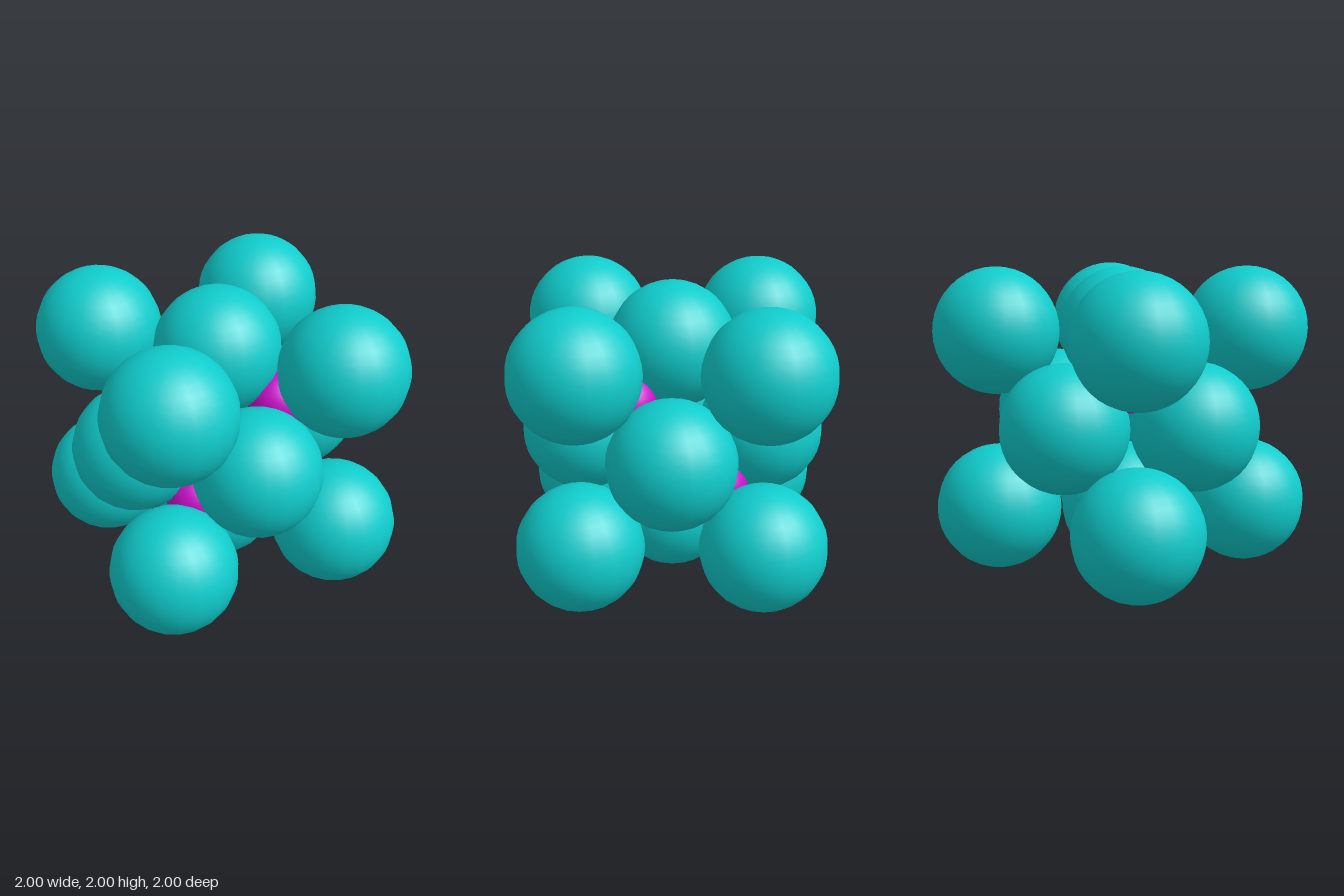
import * as THREE from 'three';

// Close-packed cube of large spheres with small spheres in alternate gaps
export function createModel() {
  const model = new THREE.Group();
  model.name = 'crystalLattice';

  const teal = new THREE.MeshStandardMaterial({ color: 0x10cccc });
  teal.name = 'teal';
  const magenta = new THREE.MeshStandardMaterial({ color: 0xcc10cc });
  magenta.name = 'magenta';

  const R = 0.414;      // large sphere radius
  const A = 1 - R;      // half of the cell edge
  const large = new THREE.SphereGeometry(R, 20, 20);
  const small = new THREE.SphereGeometry(0.2, 20, 20);

  function addSphere(name, geometry, material, x, y, z) {
    const mesh = new THREE.Mesh(geometry, material);
    mesh.name = name;
    mesh.position.set(x, 1 + y, z);
    model.add(mesh);
  }

  // Corners, and the gap sites on alternate corners' diagonals
  for (const i of [-1, 1]) for (const j of [-1, 1]) for (const k of [-1, 1]) {
    addSphere('cornerSphere', large, teal, i * A, j * A, k * A);
    if (i * j * k > 0) addSphere('gapSphere', small, magenta, i * A / 2, j * A / 2, k * A / 2);
  }

  // Face centres
  for (const s of [-A, A]) {
    addSphere('faceSphere', large, teal, s, 0, 0);
    addSphere('faceSphere', large, teal, 0, s, 0);
    addSphere('faceSphere', large, teal, 0, 0, s);
  }
  return model;
}
